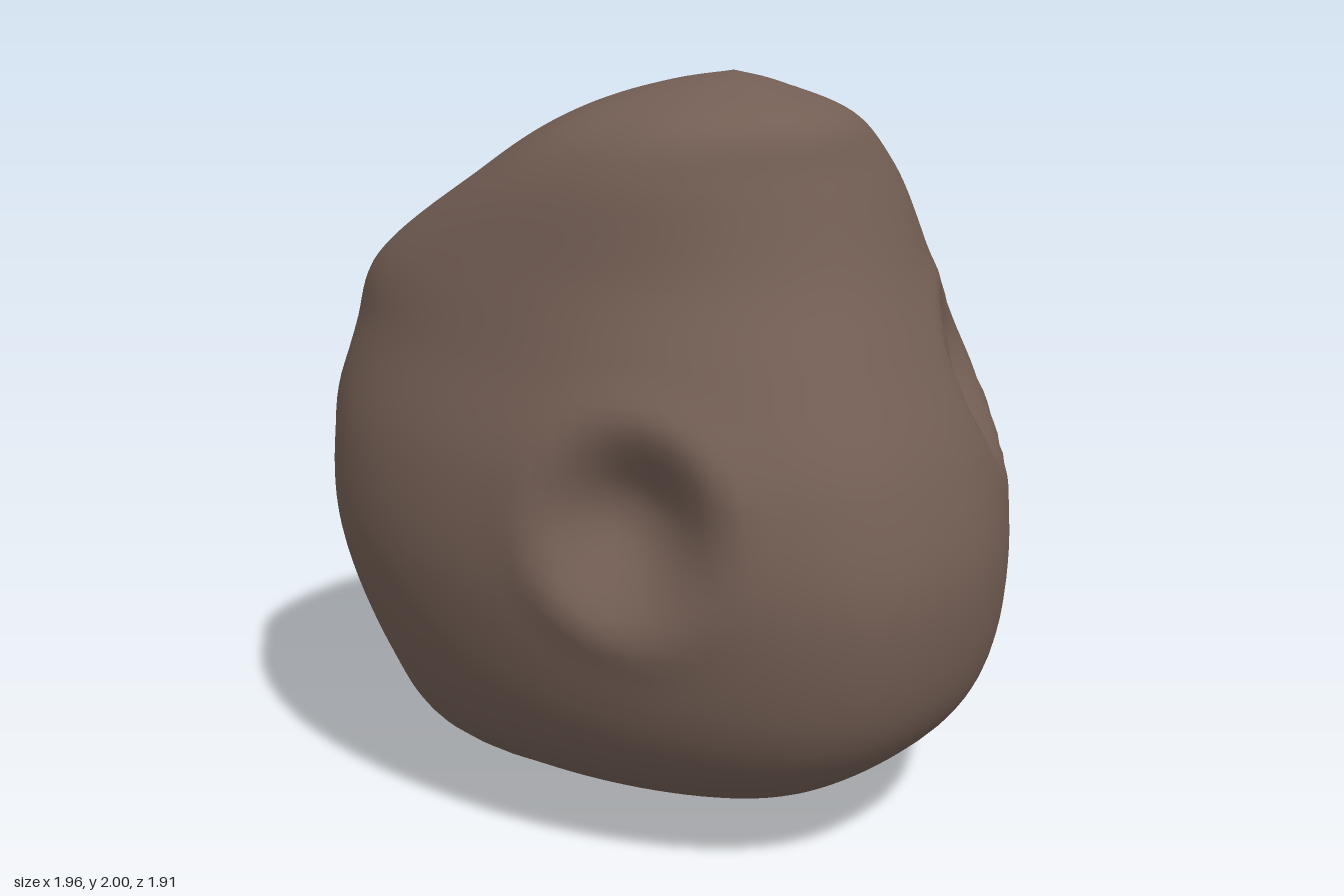
import * as THREE from 'three';
import { mergeVertices } from 'three/addons/utils/BufferGeometryUtils.js';
import { ParametricGeometry } from 'three/addons/geometries/ParametricGeometry.js';

const V = (x, y, z) => new THREE.Vector3(x, y, z);
const { lerp, smoothstep } = THREE.MathUtils;

// Cross-sections from the ground up: height, then x and z limits
const SECTIONS = [
  [0, -.14, -.14, .12, .12],
  [.05, -.47, .31, -.29, .38],
  [.17, -.72, .64, -.55, .7],
  [.38, -.84, .89, -.86, .87],
  [.72, -.97, .97, -.95, .95],
  [1.03, -.98, .91, -.92, .93],
  [1.3, -.91, .78, -.72, .84],
  [1.5, -.81, .68, -.49, .78],
  [1.75, -.42, .58, -.26, .7],
  [1.89, -.17, .51, -.08, .59],
  [1.97, .04, .33, .1, .38],
  [2, .2, .2, .2, .2],
];
const lowCorner = new THREE.CatmullRomCurve3(SECTIONS.map(([y, x0, , z0]) => V(x0, y, z0)), false, 'catmullrom');
const highCorner = new THREE.CatmullRomCurve3(SECTIONS.map(([y, , x1, , z1]) => V(x1, y, z1)), false, 'catmullrom');

// Craters: direction from the middle of the rock, radius, depth
const MIDDLE = V(0, 1, 0);
const crater = (x, y, z, radius, depth) => ({ axis: V(x, y, z).normalize(), radius, depth });
const CRATERS = [
  crater(.35, -.06, .88, .27, .16), // front
  crater(.7, .17, -.22, .28, .12), // left
  crater(-.26, .75, .17, .28, .07), // top
  crater(-.86, .2, .36, .28, .09), // right
  crater(-.42, .35, -.67, .27, .08), // back
  crater(-.06, -.7, -.7, .28, .12), // low back
  crater(-.35, -.9, .42, .25, .08), // underside
];

// Bulge or cut of each diagonal quarter, low down and near the top
function quarterSwell(cos, sin, rise) {
  const [low, top] = cos > 0
    ? (sin > 0 ? [.06, -.03] : [-.09, .1])
    : (sin > 0 ? [.07, .1] : [.08, .04]);
  return 1 + lerp(low, top, rise) * (2 * cos * sin) ** 2;
}

// Smooth bowl with a slightly raised rim
function craterOffset(q, depth) {
  const bowl = 1 - smoothstep(q, .05, 1.05);
  return depth * (.06 * Math.exp(-(((q - 1.05) / .2) ** 2)) - bowl);
}

// Point of the rock surface: u runs around, v runs upwards
function rockSurface(u, v, target) {
  const low = lowCorner.getPoint(v), high = highCorner.getPoint(v);
  const angle = -2 * Math.PI * u;
  const cos = Math.cos(angle), sin = Math.sin(angle);
  const rise = smoothstep(v, .45, .75);
  const swell = quarterSwell(cos, sin, rise);
  const halfX = (high.x - low.x) / 2, halfZ = (high.z - low.z) / 2;
  // The widest flanks of the lower body lie towards the front
  const forward = (cos > 0 ? .25 : .15) * (1 - rise) * cos ** 4;
  target.addVectors(low, high).multiplyScalar(.5);
  target.x += halfX * swell * cos;
  target.z += halfZ * swell * sin + halfX * forward;

  const fromMiddle = target.clone().sub(MIDDLE);
  for (const { axis, radius, depth } of CRATERS) {
    const along = fromMiddle.dot(axis);
    if (along <= 0) continue;
    const away = fromMiddle.clone().addScaledVector(axis, -along).length();
    target.addScaledVector(axis, craterOffset(away / radius, depth));
  }
}

export function createModel() {
  // Weld the seam and poles so the shading runs smoothly all round
  const surface = new ParametricGeometry(rockSurface, 96, 88);
  surface.deleteAttribute('uv');
  surface.deleteAttribute('normal');
  const geometry = mergeVertices(surface, 1e-4);
  geometry.computeVertexNormals();

  const rock = new THREE.Mesh(geometry, new THREE.MeshStandardMaterial({ color: 0x735e54 }));
  rock.name = 'crateredRock';
  const group = new THREE.Group();
  group.name = 'asteroid';
  group.add(rock);
  return group;
}
